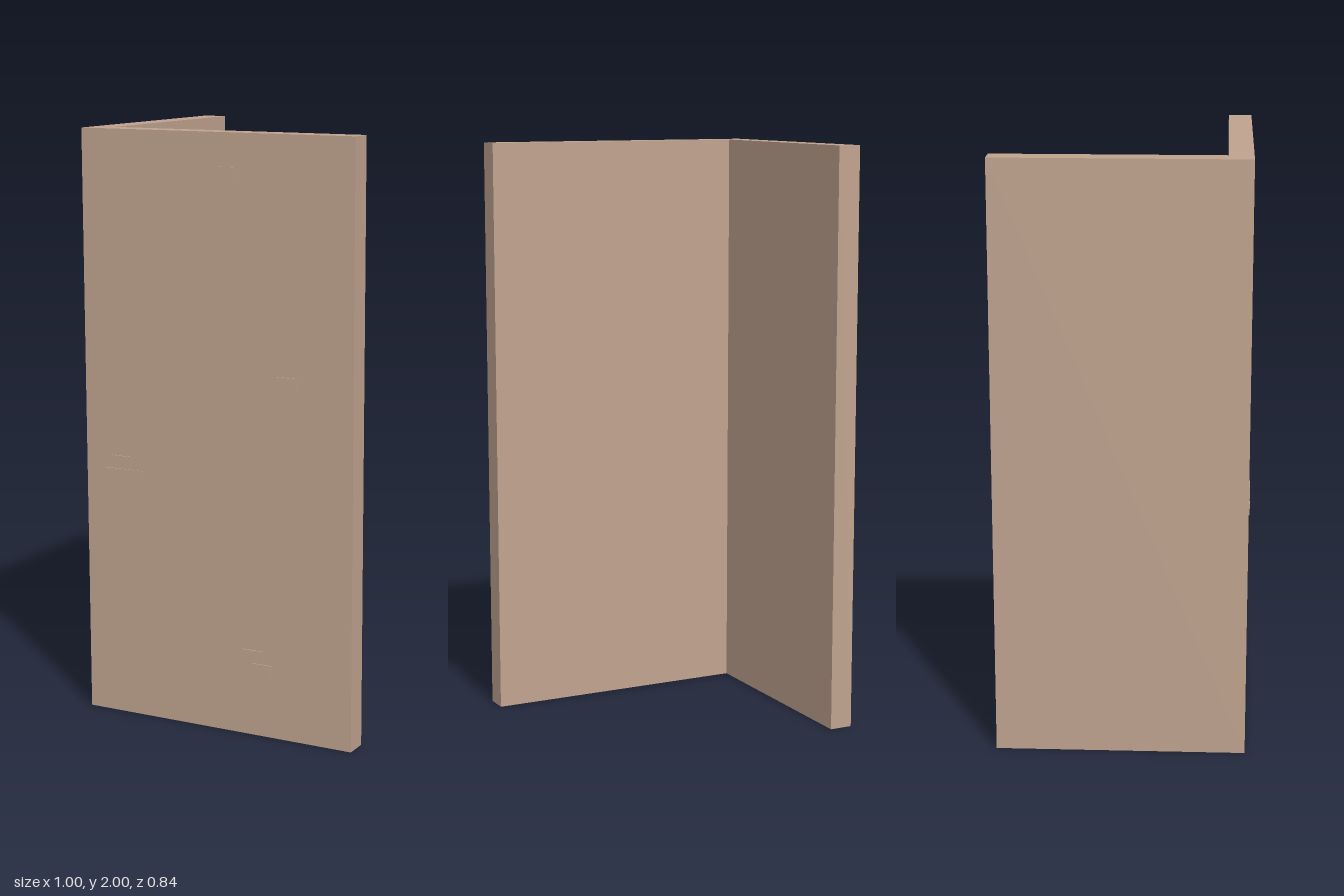
import * as THREE from 'three';

export function createModel() {
  const group = new THREE.Group();
  group.name = 'cornerWall';
  const plaster = new THREE.MeshStandardMaterial({ color: 0xc0a38f });
  plaster.name = 'tan plaster';

  // L-shaped wall, drawn in plan (shape y = -z) and raised to full height
  const plan = new THREE.Shape([
    [-0.5, -0.415], [0.5, -0.415], [0.5, -0.335],
    [-0.42, -0.335], [-0.42, 0.42], [-0.5, 0.42],
  ].map(([x, y]) => new THREE.Vector2(x, y)));
  const wallGeometry = new THREE.ExtrudeGeometry(plan, { depth: 2, bevelEnabled: false });
  wallGeometry.rotateX(-Math.PI / 2);
  const wall = new THREE.Mesh(wallGeometry, plaster);
  wall.name = 'wall';
  group.add(wall);

  // Slightly raised bricks on the front: left edge, top edge, relief
  const bricks = [
    [0.0, 1.89, 0.003], [0.225, 1.225, 0.004],
    [-0.4, 0.905, 0.004], [-0.43, 0.86, 0.004], [-0.355, 0.86, 0.002],
    [0.1, 0.295, 0.004], [0.135, 0.25, 0.004],
  ];
  for (const [left, top, relief] of bricks) {
    const brick = new THREE.Mesh(new THREE.BoxGeometry(0.075, 0.04, relief), plaster);
    brick.position.set(left + 0.0375, top - 0.02, 0.415 + relief / 2);
    brick.name = 'raisedBrick';
    group.add(brick);
  }
  return group;
}
